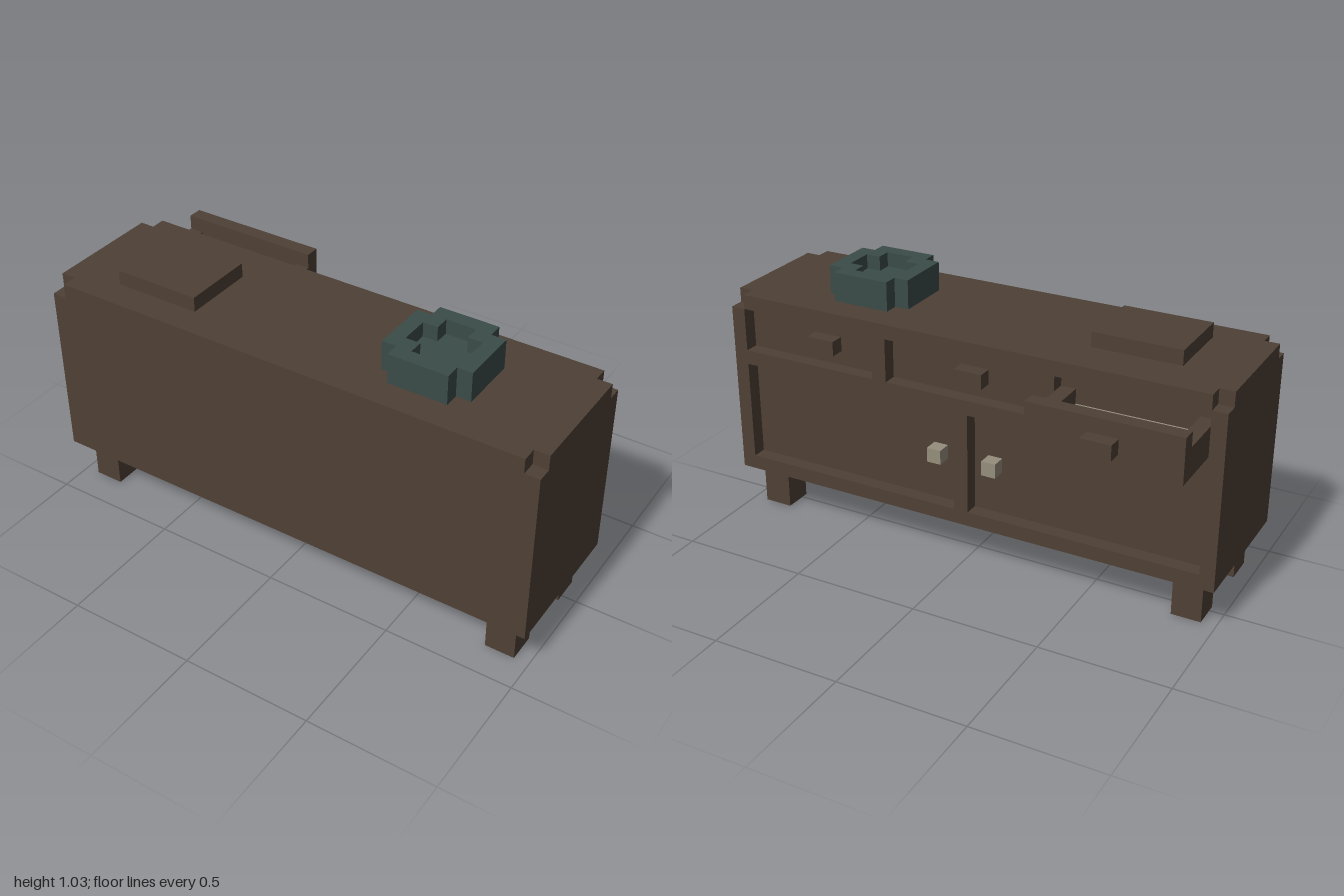
import * as THREE from 'three';

// One block of the design grid; the cabinet is 35 blocks wide.
const U = 2 / 35;

const wood = new THREE.MeshStandardMaterial({ color: 0x4e4035 });
wood.name = 'darkWood';
const cream = new THREE.MeshStandardMaterial({ color: 0x968e7d });
cream.name = 'cream';
const teal = new THREE.MeshStandardMaterial({ color: 0x3b4c48 });
teal.name = 'darkTeal';

// Box between two corners given in blocks.
function box(parent, name, material, [x0, x1], [y0, y1], [z0, z1]) {
  const geo = new THREE.BoxGeometry((x1 - x0) * U, (y1 - y0) * U, (z1 - z0) * U);
  const mesh = new THREE.Mesh(geo, material);
  mesh.name = name;
  mesh.position.set((x0 + x1) * U / 2, (y0 + y1) * U / 2, (z0 + z1) * U / 2);
  parent.add(mesh);
  return mesh;
}

// Rectangle outline (half sizes a, b) with square notches cut from its corners.
function notched(a, b, nx, nz) {
  const quarter = [[a, b - nz], [a - nx, b - nz], [a - nx, b]];
  const flip = (sx, sy) => quarter.map(([x, y]) => new THREE.Vector2(x * sx * U, y * sy * U));
  return [...flip(1, 1), ...flip(-1, 1).reverse(), ...flip(-1, -1), ...flip(1, -1).reverse()];
}

// Horizontal slab from an outline, centred on (cx, cz), between two heights.
function slab(parent, name, material, outline, hole, cx, cz, y0, y1) {
  const shape = new THREE.Shape(outline);
  if (hole) shape.holes.push(new THREE.Path(hole));
  const geo = new THREE.ExtrudeGeometry(shape, { depth: (y1 - y0) * U, bevelEnabled: false });
  geo.rotateX(-Math.PI / 2);
  const mesh = new THREE.Mesh(geo, material);
  mesh.name = name;
  mesh.position.set(cx * U, y0 * U, cz * U);
  parent.add(mesh);
}

// Blocks counted from the +x end turned into an x range.
const span = (i, j) => [17.5 - j, 17.5 - i];

export function createModel() {
  const model = new THREE.Group();
  model.name = 'sideboard';

  // Carcass and top with notched corners
  const body = new THREE.Group();
  body.name = 'cabinetBody';
  model.add(body);
  box(body, 'carcass', wood, [-17.5, 17.5], [3, 15], [-1.5, 7.5]);
  slab(body, 'top', wood, notched(17.5, 5, 1, 1), null, 0, 2.5, 15, 16);

  // Frame around the drawers and doors
  const frameZ = [-2.5, -1.5];
  for (const i of [0, 34]) box(body, 'outerStile', wood, span(i, i + 1), [3, 15], frameZ);
  for (const y of [3, 11]) box(body, 'rail', wood, span(1, 34), [y, y + 1], frameZ);
  box(body, 'doorStile', wood, span(17, 18), [4, 11], frameZ);
  for (const i of [11, 23]) box(body, 'drawerStile', wood, span(i, i + 1), [12, 15], frameZ);

  // Legs
  for (const x of [-16.5, 14.5]) {
    for (const z of [-1.5, 4.5]) box(model, 'leg', wood, [x, x + 2], [0, 3], [z, z + 2]);
  }

  // Closed drawer handles and door knobs
  for (const i of [6, 17]) box(model, 'drawerHandle', wood, span(i, i + 2), [13, 14], frameZ);
  for (const i of [15, 19]) box(model, 'doorKnob', cream, span(i, i + 1), [7, 8], frameZ);

  // Open drawer
  const drawer = new THREE.Group();
  drawer.name = 'openDrawer';
  model.add(drawer);
  box(drawer, 'drawerFront', wood, span(24, 34), [12, 15], [-6.5, -5.5]);
  for (const i of [24, 33]) box(drawer, 'drawerSide', wood, span(i, i + 1), [12, 14], [-5.5, -1.5]);
  box(drawer, 'drawerFloor', cream, span(25, 33), [12, 13], [-5.5, -1.5]);
  box(drawer, 'openDrawerHandle', wood, span(28, 30), [13, 14], [-7.5, -6.5]);

  // Flat pad on the top
  box(model, 'topPad', wood, [-13.5, -7.5], [16, 17], [0.5, 5.5]);

  // Bowl with a cross-shaped hollow
  const bowl = new THREE.Group();
  bowl.name = 'bowl';
  model.add(bowl);
  slab(bowl, 'bowlBase', teal, notched(3, 3, 1, 1), null, 8.5, 2.5, 16, 17);
  slab(bowl, 'bowlRim', teal, notched(3, 3, 1, 1), notched(2, 2, 1, 1), 8.5, 2.5, 17, 18);

  return model;
}
